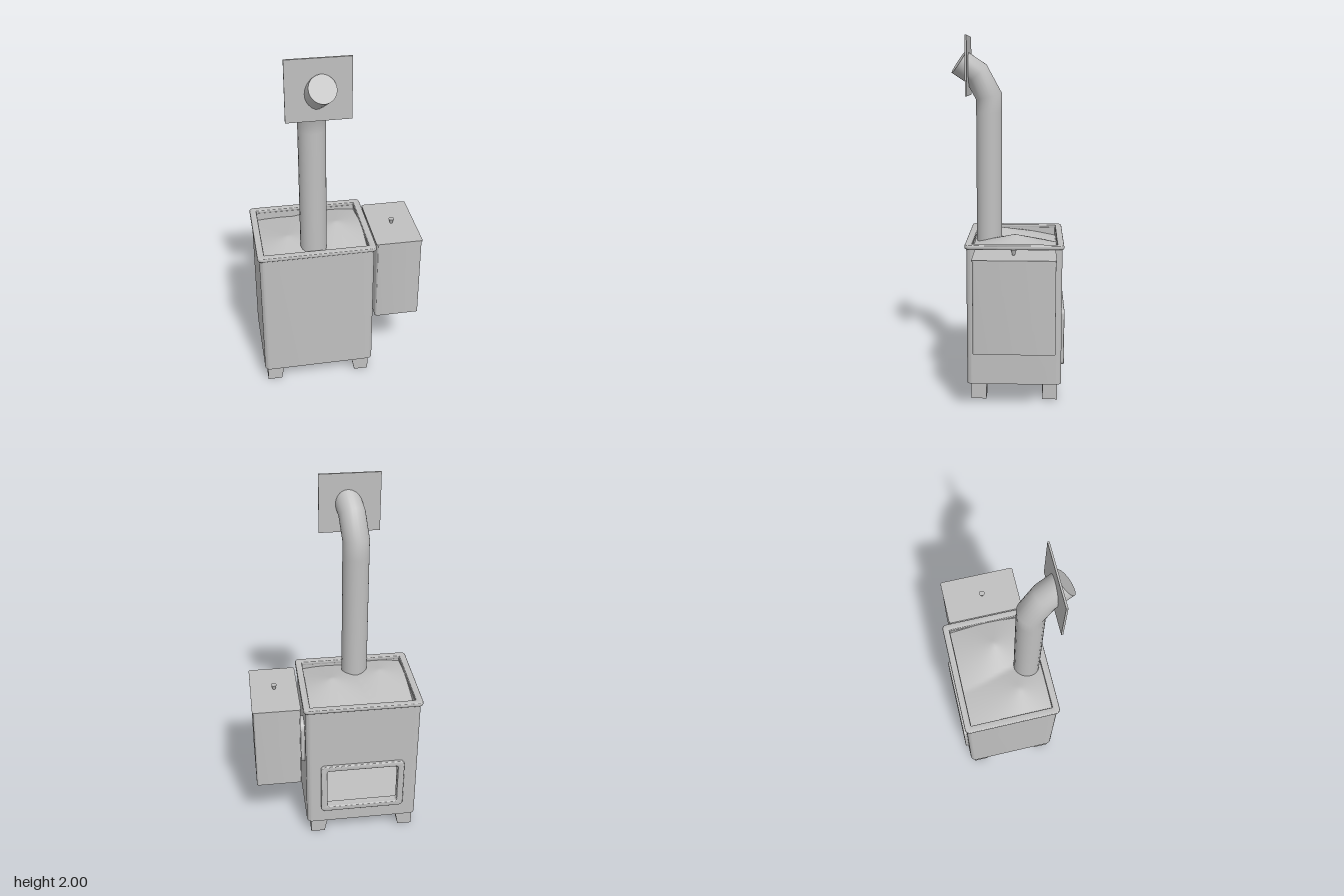
import * as THREE from 'three';
import { toCreasedNormals } from 'three/addons/utils/BufferGeometryUtils.js';

const steel = new THREE.MeshStandardMaterial({ color: 0xc0c0c0 });
steel.name = 'grey steel';

// Rounded rectangle outline, as a Shape or as a hole Path
function roundRect(x0, x1, y0, y1, r, Type = THREE.Shape) {
  const p = new Type();
  p.absarc(x1 - r, y1 - r, r, 0, Math.PI / 2);
  p.absarc(x0 + r, y1 - r, r, Math.PI / 2, Math.PI);
  p.absarc(x0 + r, y0 + r, r, Math.PI, Math.PI * 1.5);
  p.absarc(x1 - r, y0 + r, r, Math.PI * 1.5, Math.PI * 2);
  p.closePath();
  return p;
}

// Extrusion from local z = 0 to depth, bevel included in the depth
function extrude(shape, depth, bevel = 0) {
  const g = new THREE.ExtrudeGeometry(shape, {
    depth: depth - 2 * bevel, curveSegments: 8, bevelEnabled: bevel > 0,
    bevelSize: bevel, bevelThickness: bevel, bevelOffset: -bevel, bevelSegments: 3,
  });
  g.translate(0, 0, bevel);
  return toCreasedNormals(g, 0.6);
}

// Plan shapes are drawn in (x, -z) and raised from y0 to y1
function upright(shape, y0, y1, bevel) {
  return extrude(shape, y1 - y0, bevel).rotateX(-Math.PI / 2).translate(0, y0, 0);
}

// Flue with two mitred bends leaning forward, closed at the outlet
function flueGeometry() {
  const n = 24, r = 0.073;
  const h = new THREE.Vector3(0.2, 0, 0.98);
  const u = new THREE.Vector3(-h.z, 0, h.x);
  const miter = 1 / Math.cos(0.245);
  // distance forward, height, tilt, stretch across the mitre
  const rings = [[0, 0.8, 0, 1], [0, 1.58, 0, 1], [0, 1.67, 0.245, miter],
    [0.069, 1.795, 0.735, miter], [0.168, 1.86, 0.98, 1]];
  const pos = [], idx = [];
  rings.forEach(([s, y, tilt, k], i) => {
    for (let j = 0; j < n; j++) {
      const a = (j / n) * Math.PI * 2;
      const p = new THREE.Vector3(-0.145, y, 0.1125).addScaledVector(h, s)
        .addScaledVector(u, r * Math.cos(a))
        .addScaledVector(h, r * k * Math.sin(a) * Math.cos(tilt));
      p.y -= r * k * Math.sin(a) * Math.sin(tilt);
      pos.push(p.x, p.y, p.z);
      if (i === rings.length - 1) continue;
      const b = i * n + (j + 1) % n, c = i * n + j;
      idx.push(c, b, b + n, c, b + n, c + n);
    }
  });
  const last = (rings.length - 1) * n;
  for (let j = 1; j < n - 1; j++) idx.push(last, last + j, last + j + 1);
  const g = new THREE.BufferGeometry();
  g.setAttribute('position', new THREE.Float32BufferAttribute(pos, 3));
  g.setIndex(idx);
  return toCreasedNormals(g, 0.7);
}

// Uneven bed of stones: two low mounds
function stoneGeometry() {
  const g = new THREE.PlaneGeometry(0.59, 0.475, 40, 32).rotateX(-Math.PI / 2);
  g.translate(-0.1375, 0, -0.04);
  const p = g.attributes.position;
  for (let i = 0; i < p.count; i++) {
    const x = p.getX(i), z = p.getZ(i);
    const a = 0.912 - 0.27 * Math.hypot(x - 0.005, z + 0.04);
    const b = 0.896 - 0.22 * Math.hypot(x + 0.28, z - 0.04);
    p.setY(i, Math.max(a, b, 0.815));
  }
  g.computeVertexNormals();
  return g;
}

// Leg whose inner side narrows towards the floor
function legGeometry(side) {
  const g = new THREE.BoxGeometry(0.08, 0.1, 0.083);
  const p = g.attributes.position;
  for (let i = 0; i < p.count; i++) {
    if (p.getY(i) > 0 && p.getX(i) * side < 0) p.setX(i, p.getX(i) - side * 0.02);
  }
  g.computeVertexNormals();
  return g;
}

export function createModel() {
  const model = new THREE.Group();
  model.name = 'stove';
  const add = (name, geometry, material = steel) => {
    const m = new THREE.Mesh(geometry, material);
    m.name = name;
    model.add(m);
    return m;
  };

  // Body: hollow walls on three sides, rounded at the corners
  const X0 = -0.455, X1 = 0.18, BACK = 0.3, FRONT = -0.223, R = 0.03;
  const wall = new THREE.Shape();
  wall.moveTo(X1 - R, BACK);
  wall.absarc(X1 - R, BACK - R, R, Math.PI / 2, 0, true);
  wall.absarc(X1 - R, FRONT + R, R, 0, -Math.PI / 2, true);
  wall.absarc(X0 + R, FRONT + R, R, -Math.PI / 2, -Math.PI, true);
  wall.absarc(X0 + R, BACK - R, R, Math.PI, Math.PI / 2, true);
  wall.lineTo(X0 + R, FRONT + R);
  wall.lineTo(X1 - R, FRONT + R);
  wall.closePath();
  add('bodyWalls', upright(wall, 0.095, 0.868));
  add('bodyFloor', upright(roundRect(X0, X1, FRONT, BACK, R), 0.095, 0.115));

  // Back wall with the fire opening and its raised frame
  const backWall = roundRect(X0 + R, X1 - R, 0.095, 0.868, 0.0001);
  backWall.holes.push(roundRect(-0.34, 0.065, 0.213, 0.467, 0.012, THREE.Path));
  add('backWall', extrude(backWall, 0.03).translate(0, 0, -BACK));
  const frame = roundRect(-0.375, 0.1, 0.18, 0.5, 0.025);
  frame.holes.push(roundRect(-0.34, 0.065, 0.213, 0.467, 0.012, THREE.Path));
  add('fireOpeningFrame', extrude(frame, 0.022, 0.005).translate(0, 0, -0.317));

  // Top rim and stone bed
  const rim = roundRect(-0.465, 0.19, -0.231, 0.309, 0.025);
  rim.holes.push(roundRect(-0.427, 0.152, -0.192, 0.272, 0.001, THREE.Path));
  add('topRim', upright(rim, 0.862, 0.885, 0.006));
  const stoneMaterial = steel.clone();
  stoneMaterial.side = THREE.DoubleSide;
  add('stoneBed', stoneGeometry(), stoneMaterial);

  // Flue and wall plate
  add('flue', flueGeometry());
  add('wallPlate', new THREE.BoxGeometry(0.334, 0.325, 0.01)).position.set(-0.125, 1.8375, 0.227);

  // Water tank, lid, knob and the link to the body
  add('tank', upright(roundRect(0.203, 0.459, -0.169, 0.26, 0.012), 0.365, 0.859));
  add('tankLid', upright(roundRect(0.2, 0.463, -0.172, 0.263, 0.012), 0.858, 0.866));
  add('lidKnob', new THREE.CylinderGeometry(0.016, 0.007, 0.028, 16)).position.set(0.33, 0.88, -0.04);
  add('tankLink', extrude(roundRect(0.11, 0.23, 0.46, 0.75, 0.059), 0.04)
    .rotateY(Math.PI / 2).translate(0.17, 0, 0));

  // Four legs
  for (const side of [-1, 1]) {
    for (const z of [0.158, -0.238]) {
      add('leg', legGeometry(side)).position.set(-0.1415 + side * 0.2585, 0.05, z);
    }
  }
  return model;
}
